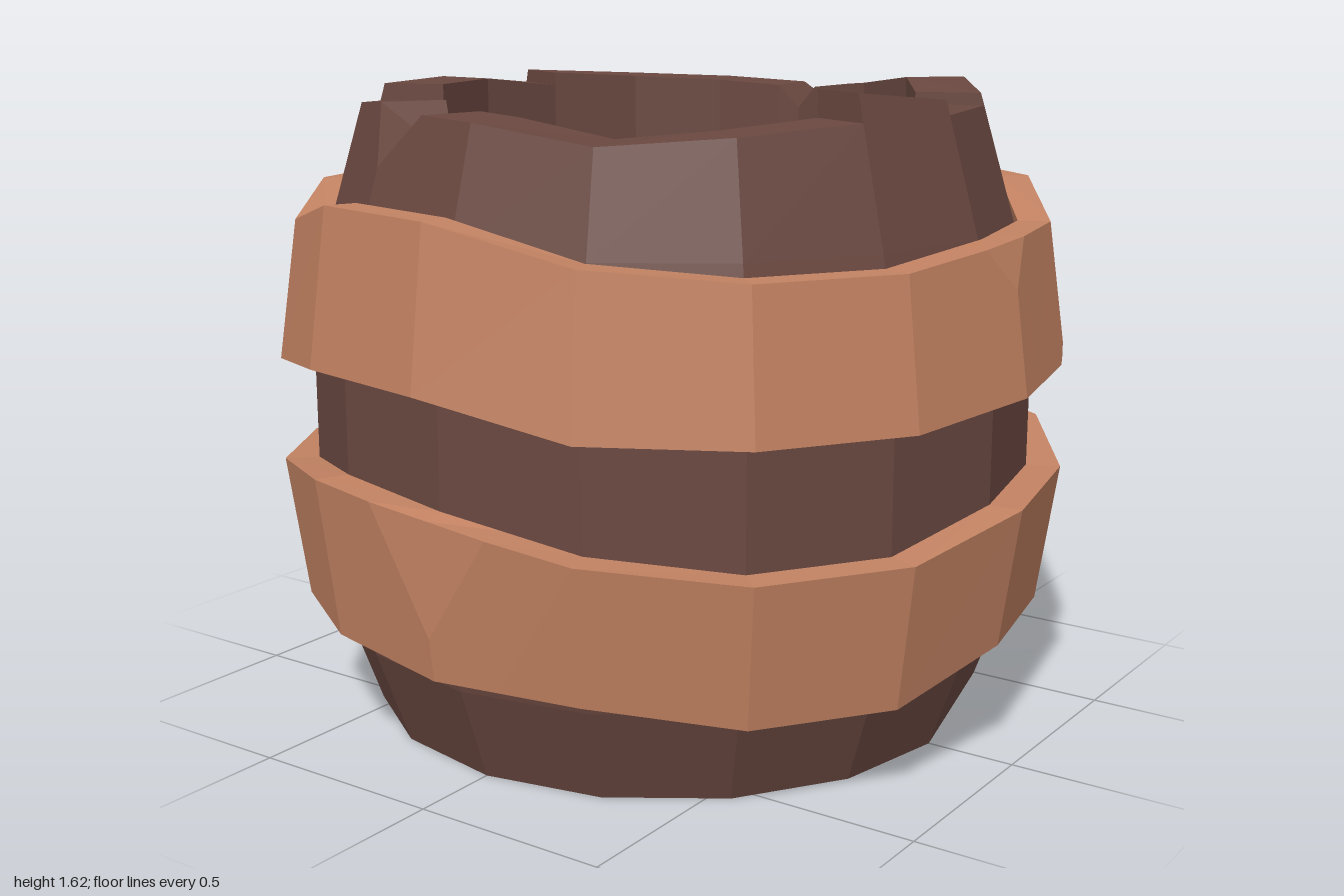
import * as THREE from 'three';

const SIDES = 16;

// Point on a 16-sided ring; k counts sides from the front (+z) towards +x.
function ringPoint(k, r, y) {
  const i = Math.floor(k), step = (Math.PI * 2) / SIDES;
  const corner = (n) => new THREE.Vector3(Math.sin(n * step) * r, y, Math.cos(n * step) * r);
  return corner(i).lerp(corner(i + 1), k - i);
}

// Skin consecutive rings with flat quads, dropping collapsed triangles.
function skin(rings, material, name) {
  const pos = [], area = new THREE.Triangle();
  const tri = (a, b, c) => {
    if (area.set(a, b, c).getArea() > 1e-6) pos.push(...a.toArray(), ...b.toArray(), ...c.toArray());
  };
  for (let j = 0; j < rings.length - 1; j++) {
    const lo = rings[j], up = rings[j + 1];
    for (let i = 0; i < lo.length - 1; i++) {
      tri(lo[i], lo[i + 1], up[i + 1]);
      tri(lo[i], up[i + 1], up[i]);
    }
  }
  const geometry = new THREE.BufferGeometry();
  geometry.setAttribute('position', new THREE.Float32BufferAttribute(pos, 3));
  geometry.computeVertexNormals();
  const mesh = new THREE.Mesh(geometry, material);
  mesh.name = name;
  return mesh;
}

// Wavy band with triangular chips: { k, w: half width in sides, d: depth, top }.
function hoop(name, material, tops, bottoms, rTop, rBottom, inTop, inBottom, chips) {
  let ks = [...Array(SIDES).keys()];
  chips.forEach((c) => ks.push((c.k - c.w + SIDES) % SIDES, c.k + c.w));
  ks.sort((a, b) => a - b);
  ks.push(ks[0] + SIDES);
  const height = (list, k) => {
    const i = Math.floor(k);
    return THREE.MathUtils.lerp(list[i % SIDES], list[(i + 1) % SIDES], k - i);
  };
  const edge = (list, r) => ks.map((k) => ringPoint(k, r, height(list, k)));
  const outTop = edge(tops, rTop), outBottom = edge(bottoms, rBottom);
  const midTop = outTop.map((p) => p.clone()), midBottom = outBottom.map((p) => p.clone());
  chips.forEach((c) => {
    const list = c.top ? tops : bottoms, r = c.top ? rTop : rBottom;
    const rim = c.top ? outTop : outBottom, mid = c.top ? midTop : midBottom;
    const at = (k) => ringPoint(k + SIDES, r, height(list, k + SIDES));
    const chord = at(c.k - c.w).lerp(at(c.k + c.w), 0.5);
    const t = c.d / (tops[c.k] - bottoms[c.k]);
    const rApex = THREE.MathUtils.lerp(r, c.top ? rBottom : rTop, t);
    const apex = ringPoint(c.k, rApex, list[c.k] + (c.top ? -c.d : c.d));
    ks.forEach((k, i) => {
      if (k % SIDES === c.k) { rim[i] = chord; mid[i] = apex; }
    });
  });
  const innerBottom = edge(bottoms, inBottom), innerTop = edge(tops, inTop);
  return skin([innerBottom, outBottom, midBottom, midTop, outTop, innerTop, innerBottom], material, name);
}

export function createModel() {
  const wood = new THREE.MeshStandardMaterial({ color: 0x6a4840, flatShading: true });
  wood.name = 'dark wood';
  const band = new THREE.MeshStandardMaterial({ color: 0xc28262, flatShading: true });
  band.name = 'copper band';
  const model = new THREE.Group();
  model.name = 'barrel';

  // Upper staves: a repeated k makes a step between planks
  const rim = [[0, 1.55], [1, 1.51], [2, 1.53], [3, 1.55], [3, 1.615], [4, 1.585], [4, 1.55],
    [5, 1.55], [5, 1.58], [6, 1.6], [7, 1.57], [7.75, 1.55], [8, 1.49], [8.25, 1.55], [9, 1.56],
    [10, 1.57], [11, 1.585], [11, 1.55], [12, 1.58], [13, 1.58], [13, 1.535], [14, 1.555],
    [14.65, 1.57], [15, 1.43], [15.4, 1.555], [16, 1.55]];
  const topRing = (r, y) => rim.map(([k]) => ringPoint(k, r, y));
  model.add(skin([
    topRing(0.915, 0.8), topRing(0.915, 1.05), topRing(0.86, 1.27),
    rim.map(([k, h]) => ringPoint(k, 0.86 - (h - 1.27) * 0.29, h)),
    rim.map(([k, h]) => ringPoint(k, 0.61, h)),
    topRing(0.61, 1.36), topRing(0, 1.36),
  ], wood, 'upperStavesAndLid'));

  // Lower staves with a recessed base and one chipped plank
  const foot = [...Array(SIDES + 1).keys()].map((k) => [k, k === 5 ? 0.08 : 0]);
  const footRing = (r, y) => foot.map(([k]) => ringPoint(k, r, y));
  model.add(skin([
    footRing(0, 0.18), footRing(0.61, 0.18),
    foot.map(([k, h]) => ringPoint(k, 0.61, h)),
    foot.map(([k, h]) => ringPoint(k, 0.775 + h * 0.35, h)),
    footRing(0.86, 0.24), footRing(0.915, 0.5), footRing(0.915, 0.8),
  ], wood, 'lowerStavesAndBase'));

  // Hoops: edge heights listed around the barrel from the front
  model.add(hoop('upperHoop', band,
    [1.35, 1.27, 1.24, 1.24, 1.27, 1.27, 1.34, 1.34, 1.27, 1.29, 1.32, 1.33, 1.33, 1.33, 1.27, 1.35],
    [0.97, 0.9, 0.89, 0.89, 0.91, 0.92, 0.98, 0.98, 0.91, 0.94, 0.97, 0.98, 0.98, 0.96, 0.92, 0.97],
    0.95, 1, 0.87, 0.915,
    [{ k: 4, w: 0.27, d: 0.11, top: true }, { k: 5, w: 0.1, d: 0.05, top: false }]));
  model.add(hoop('lowerHoop', band,
    [0.69, 0.63, 0.59, 0.59, 0.64, 0.65, 0.69, 0.69, 0.645, 0.65, 0.65, 0.62, 0.6, 0.64, 0.66, 0.705],
    [0.295, 0.29, 0.24, 0.235, 0.295, 0.3, 0.3, 0.295, 0.3, 0.3, 0.29, 0.27, 0.25, 0.25, 0.3, 0.31],
    1, 0.95, 0.915, 0.87,
    [{ k: 0, w: 0.45, d: 0.29, top: true }, { k: 7, w: 0.15, d: 0.1, top: false }]));

  return model;
}
